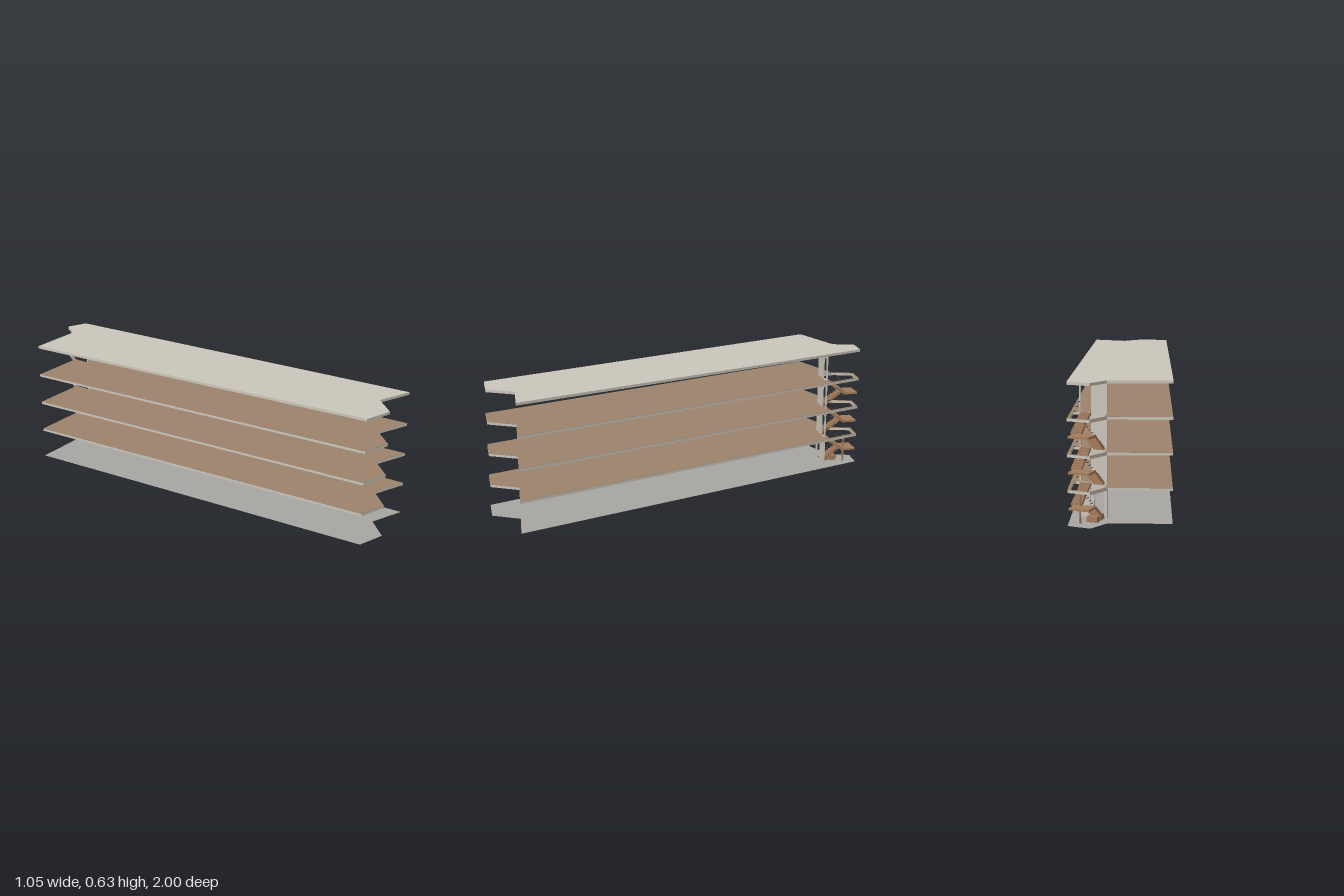
import * as THREE from 'three';

const mat = (name, color, side = THREE.FrontSide) => {
  const m = new THREE.MeshStandardMaterial({ color, side });
  m.name = name;
  return m;
};

export function createModel() {
  const model = new THREE.Group();
  model.name = 'steppedSlabBuilding';
  const concrete = mat('concrete', 0xcbc6bb);
  const ground = mat('groundGrey', 0xa8a6a2, THREE.DoubleSide);
  const wood = mat('floorBrown', 0x9c836b);
  const stairWood = mat('stairBrown', 0xa37c5c);
  const metal = mat('railDark', 0x4a4744);

  const add = (parent, name, geo, material) => {
    const m = new THREE.Mesh(geo, material);
    m.name = name;
    parent.add(m);
    return m;
  };
  // Box given by its minimum and maximum corners
  const box = (parent, name, x0, x1, y0, y1, z0, z1, material) => {
    const m = add(parent, name, new THREE.BoxGeometry(x1 - x0, y1 - y0, z1 - z0), material);
    m.position.set((x0 + x1) / 2, (y0 + y1) / 2, (z0 + z1) / 2);
    return m;
  };
  const points = (list) => list.map(([x, z]) => new THREE.Vector2(x, -z));

  // Plan outline and stairwell opening, as x, z pairs
  const outline = points([[-0.525, -0.795], [-0.255, -0.89], [-0.22, -1], [-0.11, -0.993],
    [0.525, 0.88], [0.34, 0.868], [0.27, 1], [0.125, 1]]);
  const well = points([[-0.222, -0.81], [-0.062, -0.81], [-0.118, -0.982],
    [-0.213, -0.99], [-0.243, -0.89]]);
  const plan = (open) => {
    const s = new THREE.Shape(outline);
    if (open) s.holes.push(new THREE.Path(well));
    return s;
  };
  const plate = (name, y, h, open, material) => {
    const g = new THREE.ExtrudeGeometry(plan(open), { depth: h, bevelEnabled: false });
    g.rotateX(-Math.PI / 2);
    add(model, name, g, material).position.y = y;
  };

  // Ground sheet, three open floors with brown finish, closed roof
  const sheet = new THREE.ShapeGeometry(plan(false)).rotateX(-Math.PI / 2);
  add(model, 'groundSheet', sheet, ground);
  const floorTops = [0.16, 0.317, 0.474];
  floorTops.forEach((top, i) => {
    plate(`floorSlab${i + 1}`, top - 0.013, 0.012, true, concrete);
    plate(`floorFinish${i + 1}`, top - 0.001, 0.001, true, wood);
  });
  plate('roofSlab', 0.619, 0.013, false, concrete);

  // Stair wall with doorways and a narrow slot at ground level
  const wall = new THREE.Shape();
  [[-0.222, 0], [-0.09, 0], [-0.09, 0.619], [-0.222, 0.619]].forEach(([x, y], i) =>
    i ? wall.lineTo(x, y) : wall.moveTo(x, y));
  const opening = (x0, x1, y0, y1) => wall.holes.push(new THREE.Path(
    [[x0, y0], [x0, y1], [x1, y1], [x1, y0]].map(([x, y]) => new THREE.Vector2(x, y))));
  opening(-0.209, -0.159, 0.001, 0.12);
  opening(-0.147, -0.139, 0.001, 0.147);
  floorTops.forEach((y) => opening(-0.146, -0.096, y, y + 0.118));
  const wallGeo = new THREE.ExtrudeGeometry(wall, { depth: 0.008, bevelEnabled: false });
  add(model, 'stairWall', wallGeo, concrete).position.z = -0.81;

  // Two flights with a half landing for each storey
  const steps = 9, rise = 0.157 / 18, run = 0.11 / steps;
  const flight = (parent, name, x0, x1, base, up, railX) => {
    for (let i = 0; i < steps; i++) {
      const y = base + (i + 1) * rise;
      const far = up ? -0.92 + (i + 1) * run : -0.81 - i * run;
      box(parent, `${name}Step`, x0, x1, Math.max(0, y - 0.014), y, far - run - 0.002, far, stairWood);
      // Short stepped handrail pieces
      if (i % 2 === 0) {
        box(parent, `${name}Rail`, railX - 0.0015, railX + 0.0015, y + 0.045, y + 0.048,
          far - 0.018, far, metal);
      }
    }
  };
  [0, 0.16, 0.317].forEach((base, i) => {
    const stair = new THREE.Group();
    stair.name = `stair${i + 1}`;
    model.add(stair);
    const mid = base + 9 * rise;
    flight(stair, 'lowerFlight', -0.21, -0.16, base, false, -0.163);
    flight(stair, 'upperFlight', -0.146, -0.096, mid, true, -0.092);
    box(stair, 'landing', -0.21, -0.112, mid - 0.01, mid, -0.988, -0.918, stairWood);
  });

  // Post and low base blocks at the foot of the stair
  box(model, 'stairPost', -0.147, -0.139, 0, 0.148, -0.936, -0.928, stairWood);
  box(model, 'baseBlock', -0.21, -0.16, 0, 0.025, -0.855, -0.82, stairWood);
  box(model, 'baseBlock', -0.21, -0.16, 0, 0.025, -0.9, -0.865, stairWood);
  // Small bracket beside the wall under the first floor
  box(model, 'wallBracket', -0.09, -0.085, 0.12, 0.148, -0.808, -0.802, concrete);
  return model;
}
